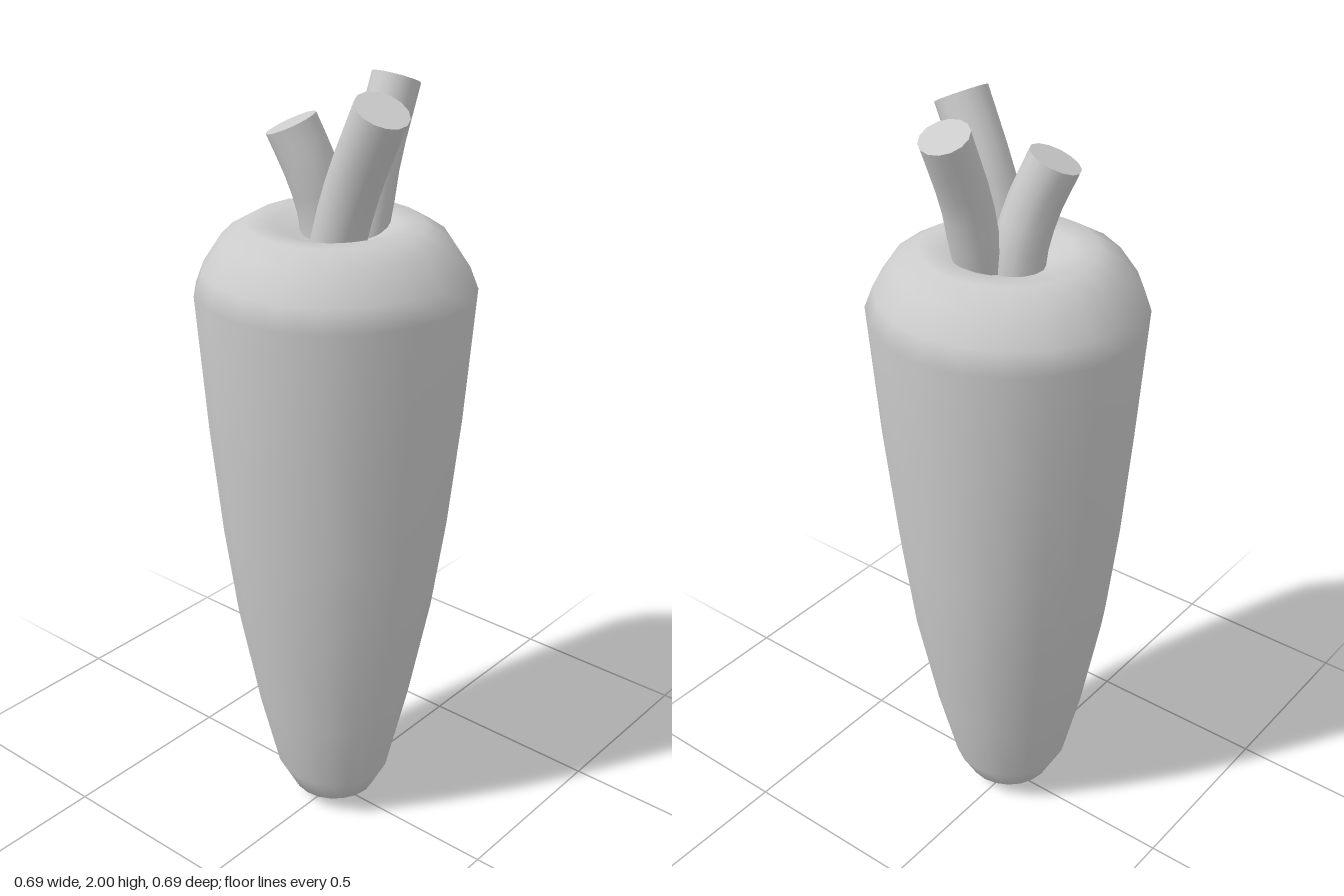
import * as THREE from 'three';
import { mergeVertices } from 'three/addons/utils/BufferGeometryUtils.js';

const material = new THREE.MeshStandardMaterial({ color: 0xcccccc });

// Tapered root: a lathe with a dished crown and a slightly uneven girth
function createRoot() {
  const profile = [
    [0, 0], [0.06, 0.013], [0.115, 0.045], [0.155, 0.12], [0.205, 0.33],
    [0.258, 0.61], [0.29, 0.86], [0.317, 1.15], [0.343, 1.5], [0.322, 1.555],
    [0.275, 1.625], [0.215, 1.66], [0.155, 1.655], [0.1, 1.63], [0, 1.605],
  ].map(([r, y]) => new THREE.Vector2(r, y));
  let geometry = new THREE.LatheGeometry(profile, 20);
  geometry.deleteAttribute('uv');
  geometry.deleteAttribute('normal');
  geometry = mergeVertices(geometry, 1e-4);
  const p = geometry.attributes.position;
  for (let i = 0; i < p.count; i++) {
    const x = p.getX(i), y = p.getY(i), z = p.getZ(i);
    const a = Math.atan2(z, x);
    const k = 1 + 0.012 * Math.sin(3 * a + 2 * y) + 0.008 * Math.cos(5 * a - 3 * y);
    const low = Math.max(0, 1 - y / 0.6);
    p.setXYZ(i, x * k + 0.005 * low, y, z * k + 0.008 * low);
  }
  geometry.computeVertexNormals();
  const root = new THREE.Mesh(geometry, material);
  root.name = 'root';
  return root;
}

// Cut stalk: a capped cylinder bent along a curve
function createStalk(name, points, radius) {
  const curve = new THREE.CatmullRomCurve3(points.map((q) => new THREE.Vector3(...q)));
  const geometry = new THREE.CylinderGeometry(radius, radius, 1, 14, 6);
  const { position, normal } = geometry.attributes;
  const up = new THREE.Vector3(0, 1, 0);
  const turn = new THREE.Quaternion();
  const v = new THREE.Vector3();
  for (let i = 0; i < position.count; i++) {
    const t = THREE.MathUtils.clamp(position.getY(i) + 0.5, 0, 1);
    turn.setFromUnitVectors(up, curve.getTangentAt(t));
    v.set(position.getX(i), 0, position.getZ(i)).applyQuaternion(turn).add(curve.getPointAt(t));
    position.setXYZ(i, v.x, v.y, v.z);
    v.fromBufferAttribute(normal, i).applyQuaternion(turn);
    normal.setXYZ(i, v.x, v.y, v.z);
  }
  const stalk = new THREE.Mesh(geometry, material);
  stalk.name = name;
  return stalk;
}

export function createModel() {
  const model = new THREE.Group();
  model.name = 'carrot';
  model.add(
    createRoot(),
    createStalk('backStalk', [[0.033, 1.57, -0.05], [0.033, 1.68, -0.085], [0.033, 1.8, -0.115], [0.033, 1.975, -0.187]], 0.06),
    createStalk('leftStalk', [[0.04, 1.57, 0.052], [0.07, 1.68, 0.055], [0.115, 1.8, 0.06], [0.2, 1.967, 0.075]], 0.066),
    createStalk('rightStalk', [[-0.032, 1.57, -0.018], [-0.04, 1.68, -0.008], [-0.06, 1.78, 0.015], [-0.1, 1.887, 0.04]], 0.065),
  );
  return model;
}
